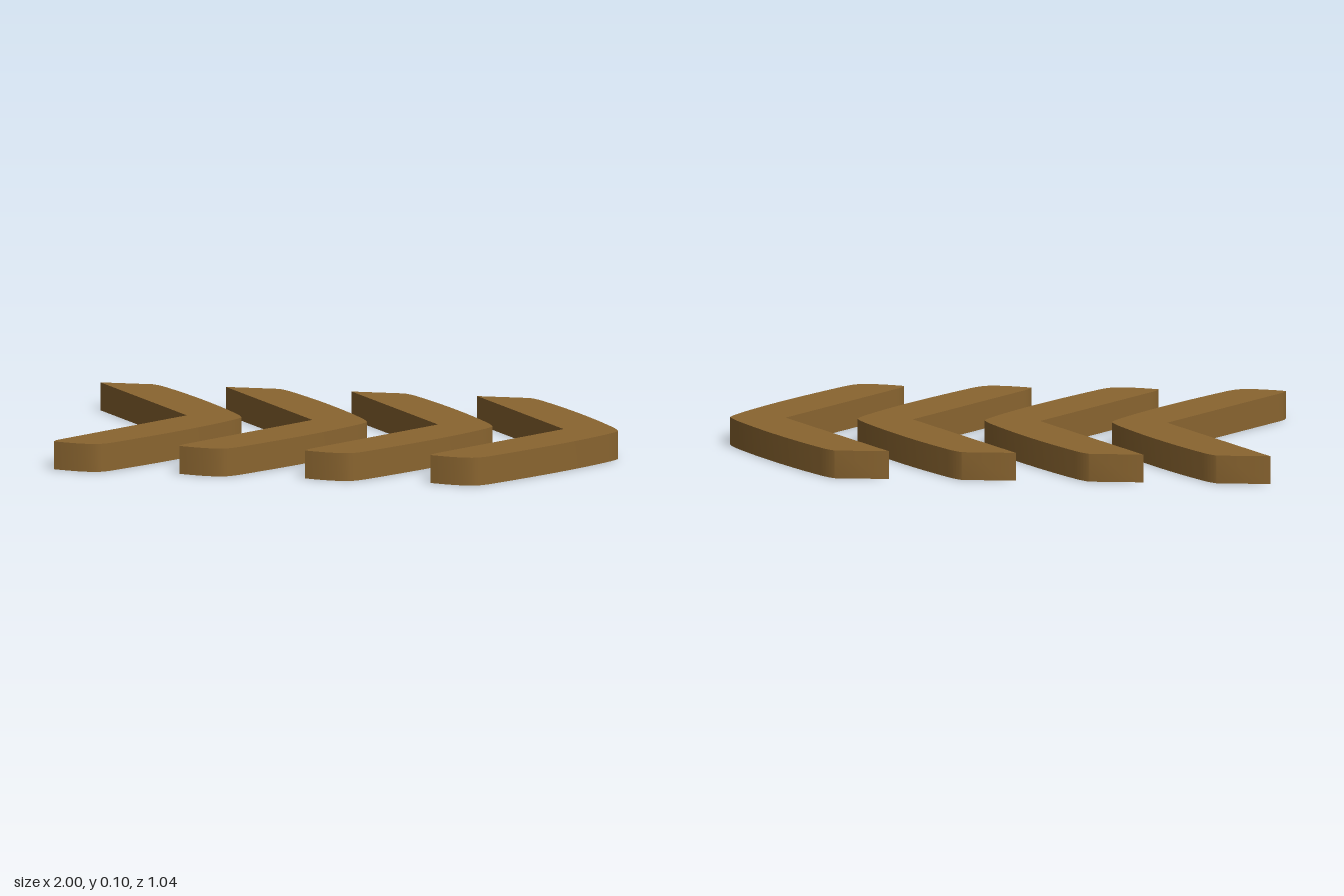
import * as THREE from 'three';
import { toCreasedNormals } from 'three/addons/utils/BufferGeometryUtils.js';

const COUNT = 4, SPACING = 0.464, HEIGHT = 0.104;

// Chevron outline seen from above; shape y points to the back (-z)
function chevronShape() {
  const s = new THREE.Shape();
  s.moveTo(0, 0.523);
  s.lineTo(0.405, 0.022);                                   // inner notch
  s.lineTo(0.03, -0.445);
  s.quadraticCurveTo(0.004, -0.475, 0.002, -0.496);         // softened front foot
  s.bezierCurveTo(0.06, -0.513, 0.135, -0.527, 0.172, -0.513);
  s.quadraticCurveTo(0.197, -0.503, 0.225, -0.472);
  s.bezierCurveTo(0.36, -0.325, 0.48, -0.185, 0.572, -0.045);
  s.quadraticCurveTo(0.604, 0.004, 0.607, 0.022);           // rounded tip
  s.quadraticCurveTo(0.602, 0.045, 0.572, 0.09);
  s.bezierCurveTo(0.48, 0.225, 0.365, 0.365, 0.25, 0.482);
  s.quadraticCurveTo(0.222, 0.511, 0.196, 0.523);
  s.closePath();
  return s;
}

export function createModel() {
  const group = new THREE.Group();
  group.name = 'chevronRow';

  const bronze = new THREE.MeshStandardMaterial({ color: 0x8a6530 });
  bronze.name = 'bronze';

  let geometry = new THREE.ExtrudeGeometry(chevronShape(), {
    depth: HEIGHT, bevelEnabled: false, curveSegments: 10,
  });
  geometry.rotateX(-Math.PI / 2);
  geometry = toCreasedNormals(geometry, Math.PI / 6);

  // Row of identical chevrons pointing to +x
  for (let i = 0; i < COUNT; i++) {
    const chevron = new THREE.Mesh(geometry, bronze);
    chevron.name = 'chevron' + (i + 1);
    chevron.position.x = -1 + i * SPACING;
    group.add(chevron);
  }
  return group;
}
